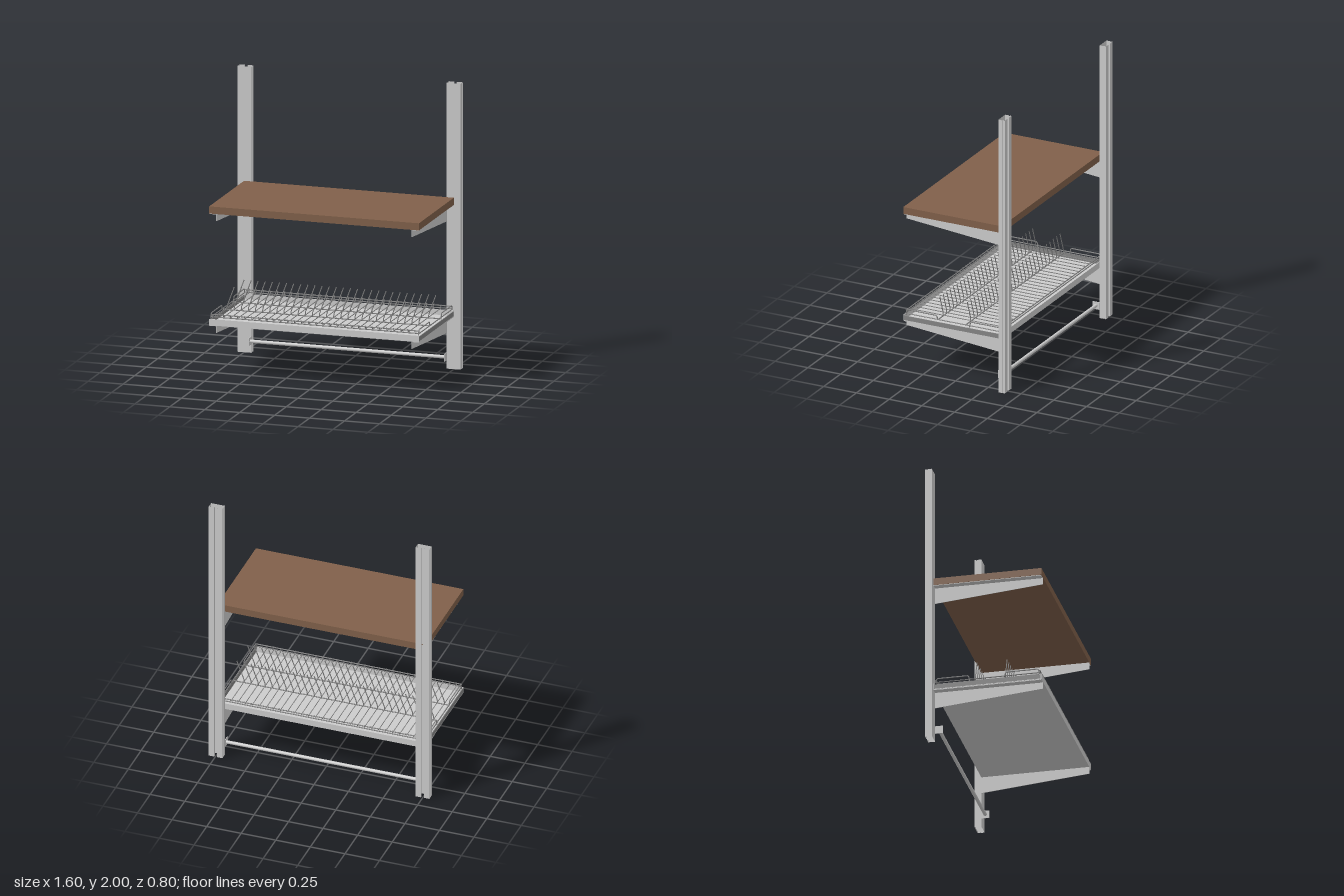
import * as THREE from 'three';

const steel = new THREE.MeshStandardMaterial({ color: 0xcccccc, side: THREE.DoubleSide });
steel.name = 'light steel';
const wire = new THREE.MeshStandardMaterial({ color: 0x858585 });
wire.name = 'grey wire';
const wood = new THREE.MeshStandardMaterial({ color: 0x80604a });
wood.name = 'brown wood';

const FRONT = 0.4, BACK = -0.352, HALF = 0.75;

export function createModel() {
  const model = new THREE.Group();

  function add(parent, name, geometry, material) {
    const mesh = new THREE.Mesh(geometry, material);
    mesh.name = name;
    parent.add(mesh);
    return mesh;
  }

  // Box given by its lower and upper limits
  function box(parent, name, material, [x0, y0, z0], [x1, y1, z1]) {
    const g = new THREE.BoxGeometry(x1 - x0, y1 - y0, z1 - z0);
    g.translate((x0 + x1) / 2, (y0 + y1) / 2, (z0 + z1) / 2);
    return add(parent, name, g, material);
  }

  // Bent wire through a few corner points
  function bentWire(parent, name, points, radius = 0.004) {
    const path = new THREE.CurvePath();
    const v = points.map((p) => new THREE.Vector3(...p));
    for (let i = 1; i < v.length; i++) path.add(new THREE.LineCurve3(v[i - 1], v[i]));
    const steps = v.length === 2 ? 1 : v.length * 6;
    return add(parent, name, new THREE.TubeGeometry(path, steps, radius, 6), wire);
  }

  // Folded sheet post, open at both ends, with side grooves and a rear slot
  function postGeometry() {
    const half = [[0.01, -0.388], [0.01, -0.4], [0.05, -0.4], [0.05, -0.39], [0.045, -0.39],
      [0.045, -0.38], [0.05, -0.38], [0.05, BACK]];
    const path = [...half, ...half.slice().reverse().map(([x, z]) => [-x, z])];
    const pos = [];
    for (let i = 1; i < path.length; i++) {
      const [ax, az] = path[i - 1], [bx, bz] = path[i];
      pos.push(ax, 0, az, bx, 2, bz, bx, 0, bz, ax, 0, az, ax, 2, az, bx, 2, bz);
    }
    const g = new THREE.BufferGeometry();
    g.setAttribute('position', new THREE.Float32BufferAttribute(pos, 3));
    g.computeVertexNormals();
    return g;
  }

  // Tapered bracket plate lying in the z-y plane, below height top
  function bracketGeometry(top) {
    const shape = new THREE.Shape([
      new THREE.Vector2(-FRONT, top), new THREE.Vector2(-FRONT, top - 0.05),
      new THREE.Vector2(-BACK, top - 0.118), new THREE.Vector2(-BACK, top)]);
    const g = new THREE.ExtrudeGeometry(shape, { depth: 0.004, bevelEnabled: false });
    g.rotateY(Math.PI / 2);
    g.translate(-0.002, 0, 0);
    return g;
  }

  // Posts, brackets and rail end plates on both sides
  const post = postGeometry();
  for (const s of [-1, 1]) {
    const side = s > 0 ? 'left' : 'right';
    add(model, side + 'Post', post, steel).position.x = s * 0.748;
    for (const [level, top] of [['upper', 1.15], ['lower', 0.368]]) {
      const bracket = new THREE.Group();
      bracket.name = side + level + 'Bracket';
      model.add(bracket);
      add(bracket, 'bracketPlate', bracketGeometry(top), steel).position.x = s * 0.7;
      const xs = [s * 0.7, s * 0.748].sort((a, b) => a - b);
      box(bracket, 'bracketFlange', steel, [xs[0], top - 0.004, BACK], [xs[1], top, FRONT - 0.003]);
    }
    const px = s * 0.699;
    box(model, side + 'RailPlate', steel, [px - 0.002, 0.06, -0.353], [px + 0.002, 0.115, -0.297]);
  }

  // Hanging rail
  const rail = add(model, 'hangingRail', new THREE.CylinderGeometry(0.012, 0.012, 1.396, 16), steel);
  rail.rotation.z = Math.PI / 2;
  rail.position.set(0, 0.088, -0.325);

  // Wooden shelf
  box(model, 'woodenShelf', wood, [-HALF, 1.15, BACK], [HALF, 1.2, FRONT]);

  // Drip tray
  const tray = new THREE.Group();
  tray.name = 'dripTray';
  model.add(tray);
  box(tray, 'trayFloor', steel, [-HALF, 0.368, BACK], [HALF, 0.373, FRONT]);
  box(tray, 'trayFront', steel, [-HALF, 0.368, FRONT - 0.005], [HALF, 0.412, FRONT]);
  box(tray, 'trayBack', steel, [-HALF, 0.368, BACK], [HALF, 0.412, BACK + 0.005]);
  for (const s of [-1, 1]) {
    const x = s * (HALF - 0.0025);
    box(tray, 'trayEnd', wire, [x - 0.0025, 0.373, BACK + 0.005], [x + 0.0025, 0.405, FRONT - 0.005]);
  }

  // Plate rack
  const rack = new THREE.Group();
  rack.name = 'plateRack';
  model.add(rack);
  for (const [y, z] of [[0.442, 0.385], [0.442, -0.34], [0.425, 0.385], [0.425, -0.34],
    [0.42, 0.14], [0.42, -0.07]]) {
    bentWire(rack, 'longWire', [[-0.745, y, z], [0.745, y, z]]);
  }
  for (let i = 0; i < 28; i++) {
    const x = -0.708 + i * 0.0508;
    bentWire(rack, 'crossWire', [[x, 0.45, 0.385], [x, 0.425, 0.375],
      [x, 0.425, -0.33], [x, 0.45, -0.34]], 0.003);
    for (const z of [0.14, -0.07]) {
      bentWire(rack, 'prong', [[x - 0.002, 0.42, z], [x + 0.002, 0.45, z], [x + 0.052, 0.583, z]], 0.0035);
    }
  }
  // Raised end loops
  for (const x of [-0.742, 0.742]) {
    for (const [z0, z1] of [[0.385, 0.14], [-0.1, -0.34]]) {
      bentWire(rack, 'endLoop', [[x, 0.408, z0], [x, 0.45, z0 - 0.01], [x, 0.45, z1 + 0.01], [x, 0.42, z1]]);
    }
    bentWire(rack, 'endWire', [[x, 0.422, 0.385], [x, 0.422, -0.34]]);
  }

  return model;
}
